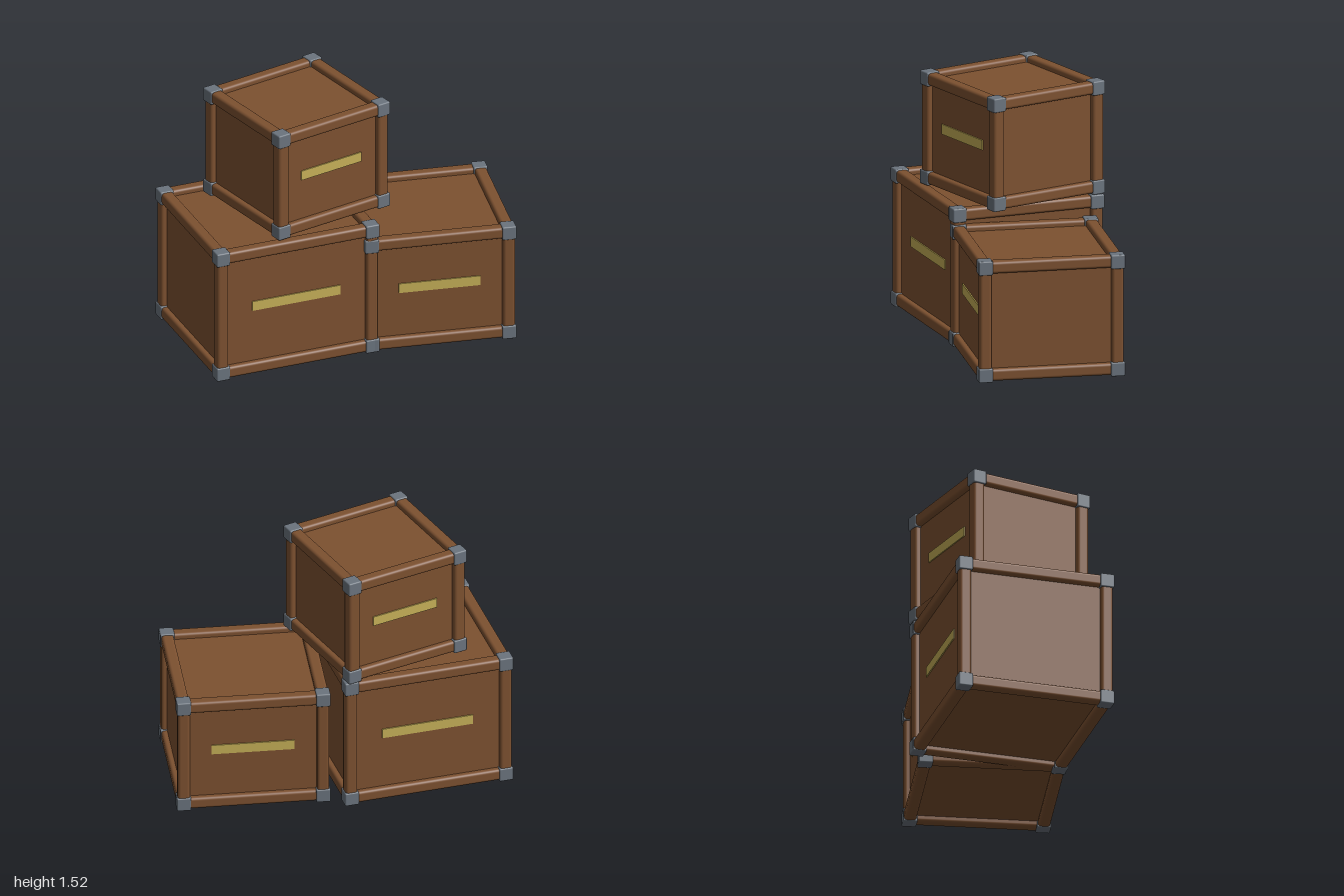
import * as THREE from 'three';
import { RoundedBoxGeometry } from 'three/addons/geometries/RoundedBoxGeometry.js';

const CAP = 0.085; // corner cap size
const BAR = 0.072; // frame bar thickness
const INSET = 0.041; // panel depth behind the cap faces

function material(name, color) {
  const m = new THREE.MeshStandardMaterial({ color });
  m.name = name;
  return m;
}

export function createModel() {
  const wood = material('brown wood', 0x7d5130);
  const steel = material('grey steel', 0x6b747e);
  const brass = material('yellow plate', 0xc6b058);

  function add(group, name, geometry, mat, x, y, z) {
    const mesh = new THREE.Mesh(geometry, mat);
    mesh.name = name;
    mesh.position.set(x, y, z);
    group.add(mesh);
  }

  // One crate: w, h, d are outer sizes over the corner caps
  function crate(name, w, h, d, labelWidth) {
    const g = new THREE.Group();
    g.name = name;
    const size = [w, h, d];
    const reach = size.map((s) => (s - CAP) / 2); // cap centres

    add(g, 'panels', new THREE.BoxGeometry(w - 2 * INSET, h - 2 * INSET, d - 2 * INSET), wood, 0, h / 2, 0);

    // Four rounded bars along each axis
    for (let axis = 0; axis < 3; axis++) {
      const dims = [BAR, BAR, BAR];
      dims[axis] = size[axis] - CAP;
      const bar = new RoundedBoxGeometry(...dims, 3, 0.018);
      const [b, c] = [(axis + 1) % 3, (axis + 2) % 3];
      for (const sb of [-1, 1]) for (const sc of [-1, 1]) {
        const p = [0, 0, 0];
        p[b] = sb * reach[b];
        p[c] = sc * reach[c];
        add(g, 'frameBar', bar, wood, p[0], p[1] + h / 2, p[2]);
      }
    }

    // Eight corner caps
    const cap = new RoundedBoxGeometry(CAP, CAP, CAP, 2, 0.008);
    for (const sx of [-1, 1]) for (const sy of [-1, 1]) for (const sz of [-1, 1]) {
      add(g, 'cornerCap', cap, steel, sx * reach[0], h / 2 + sy * reach[1], sz * reach[2]);
    }

    // Label plates on the front and back
    const plate = new THREE.BoxGeometry(labelWidth, 0.06, 0.008);
    for (const s of [-1, 1]) {
      add(g, 'labelPlate', plate, brass, 0, h / 2 + 0.019, s * (d / 2 - INSET + 0.003));
    }
    return g;
  }

  const model = new THREE.Group();
  model.name = 'crateStack';
  const place = (c, x, y, z, turn) => {
    c.position.set(x, y, z);
    c.rotation.y = turn;
    model.add(c);
  };
  place(crate('largeCrate', 1.03, 0.835, 0.948, 0.556), -0.457, 0, -0.018, 0.057);
  place(crate('mediumCrate', 0.906, 0.735, 0.872, 0.488), 0.497, 0, 0.042, -0.12);
  place(crate('topCrate', 0.794, 0.685, 0.78, 0.427), -0.267, 0.835, -0.048, 0.275);
  return model;
}
